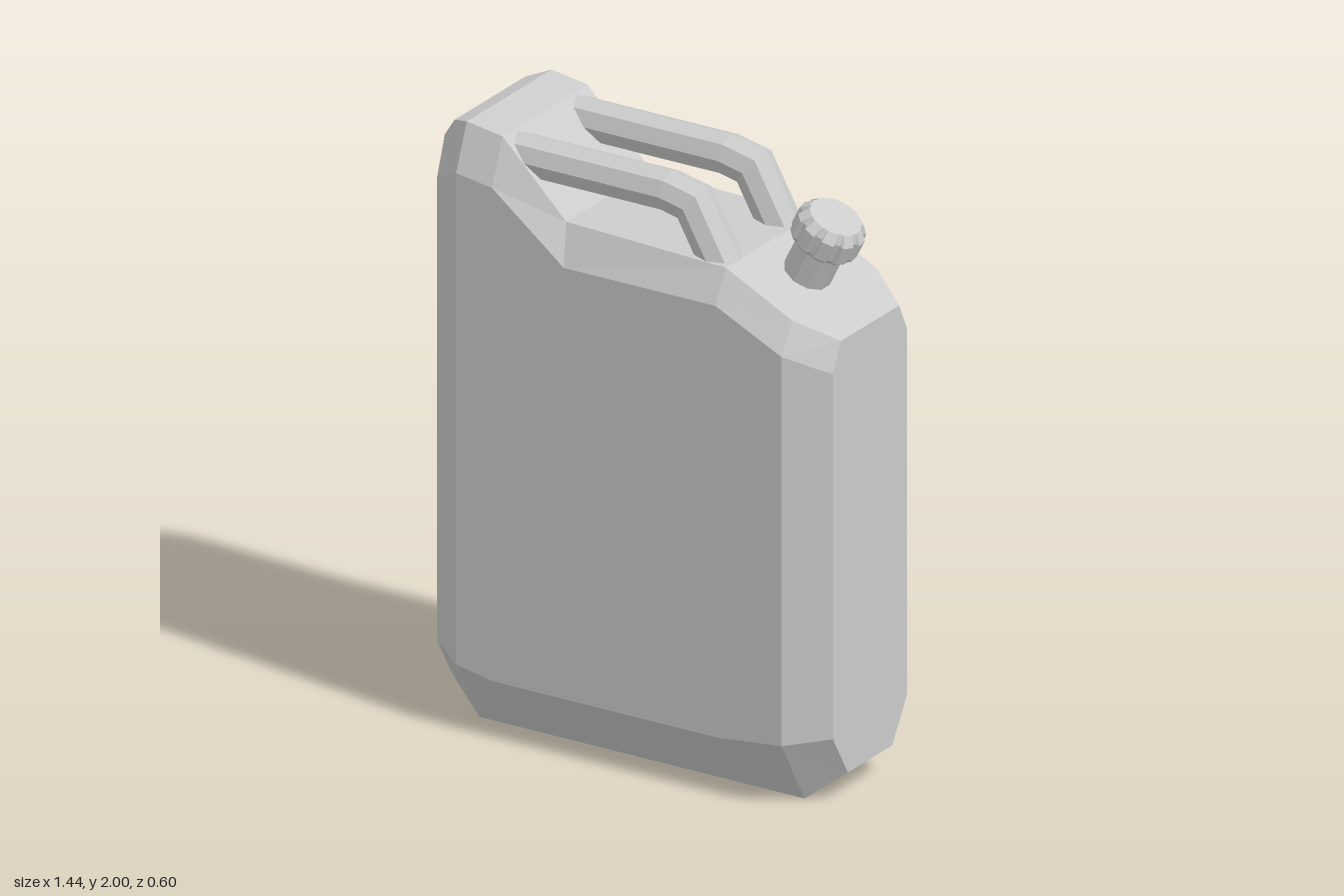
import * as THREE from 'three';

const material = new THREE.MeshStandardMaterial({ color: 0xcccccc, flatShading: true });
const V = (x, y, z) => new THREE.Vector3(x, y, z);

// Skin a list of equal-sized rings; project (optional) maps a ring to 2D, counter-clockwise, to close both ends
function loft(name, rings, project) {
  const pos = [];
  const tri = (a, b, c) => {
    const area = b.clone().sub(a).cross(c.clone().sub(a)).length();
    if (area > 1e-7) for (const p of [a, b, c]) pos.push(p.x, p.y, p.z);
  };
  for (let r = 0; r < rings.length - 1; r++) {
    const a = rings[r], b = rings[r + 1];
    for (let i = 0; i < a.length; i++) {
      const j = (i + 1) % a.length;
      tri(a[i], a[j], b[j]);
      tri(a[i], b[j], b[i]);
    }
  }
  if (project) {
    const close = (ring, up) => {
      const flat = ring.map(project);
      for (const [a, b, c] of THREE.ShapeUtils.triangulateShape(flat.slice(), [])) {
        const ccw = THREE.ShapeUtils.area([flat[a], flat[b], flat[c]]) > 0;
        if (ccw === up) tri(ring[a], ring[b], ring[c]);
        else tri(ring[a], ring[c], ring[b]);
      }
    };
    close(rings[0], false);
    close(rings[rings.length - 1], true);
  }
  const geo = new THREE.BufferGeometry();
  geo.setAttribute('position', new THREE.Float32BufferAttribute(pos, 3));
  geo.computeVertexNormals();
  const mesh = new THREE.Mesh(geo, material);
  mesh.name = name;
  return mesh;
}

// Can body: each row is a rim point (x, y, half depth) and the broad-face point (x, y) its bevel runs to
const FACE_Z = 0.3;
const outline = [
  [-0.718, 0.10, 0.125, -0.59, 0.22],
  [-0.59, 0, 0.17, -0.59, 0.22],
  [-0.46, 0, 0.17, -0.46, 0.195],
  [0.36, 0, 0.17, 0.36, 0.195],
  [0.59, 0, 0.17, 0.59, 0.22],
  [0.718, 0.10, 0.125, 0.59, 0.22],
  [0.718, 0.24, 0.21, 0.59, 0.22],
  [0.718, 1.45, 0.21, 0.59, 1.51],
  [0.718, 1.545, 0.165, 0.59, 1.51],
  [0.59, 1.61, 0.24, 0.59, 1.51],
  [0.35, 1.73, 0.24, 0.35, 1.625],
  [-0.23, 1.75, 0.24, -0.2, 1.625],
  [-0.46, 1.98, 0.24, -0.46, 1.83],
  [-0.59, 2, 0.24, -0.59, 1.85],
  [-0.66, 1.975, 0.2, -0.59, 1.85],
  [-0.718, 1.90, 0.165, -0.59, 1.85],
  [-0.718, 1.77, 0.21, -0.59, 1.85],
  [-0.718, 0.24, 0.21, -0.59, 0.22],
];

function makeBody() {
  const face = s => outline.map(p => V(p[3], p[4], s * FACE_Z));
  const rim = s => outline.map(p => V(p[0], p[1], s * p[2]));
  return loft('body', [face(-1), rim(-1), rim(1), face(1)], p => new THREE.Vector2(p.x, p.y));
}

// Eight-sided bar swept along a mitred path
function makeHandle(name, z) {
  const path = [[-0.5, 1.905], [0.1, 1.905], [0.19, 1.885], [0.315, 1.66]].map(p => new THREE.Vector2(...p));
  const radius = 0.068, sides = 8;
  const normal = i => {
    const d = path[i + 1].clone().sub(path[i]).normalize();
    return new THREE.Vector2(-d.y, d.x);
  };
  const rings = path.map((p, i) => {
    const n0 = normal(Math.max(i - 1, 0)), n1 = normal(Math.min(i, path.length - 2));
    const n = n0.clone().add(n1).normalize();
    n.divideScalar(n.dot(n0));
    return Array.from({ length: sides }, (_, k) => {
      const a = k / sides * Math.PI * 2, u = radius * Math.cos(a);
      return V(p.x + n.x * u, p.y + n.y * u, z + radius * Math.sin(a));
    });
  });
  return loft(name, rings);
}

// Tilted spout: faceted neck and a ribbed screw cap
function makeSpout() {
  const spout = new THREE.Group();
  spout.name = 'spout';
  const neck = new THREE.Mesh(new THREE.CylinderGeometry(0.078, 0.078, 0.22, 10), material);
  neck.name = 'neck';
  neck.position.y = 0.05;

  const ribs = 10;
  const ring = (y, outer, inner) => Array.from({ length: ribs * 4 }, (_, k) => {
    const step = [0, 0.55, 0.65, 0.9][k % 4];
    const a = (Math.floor(k / 4) + step) / ribs * Math.PI * 2;
    const r = k % 4 < 2 ? outer : inner;
    return V(r * Math.cos(a), y, -r * Math.sin(a));
  });
  const cap = loft('cap', [
    ring(0.135, 0.098, 0.092),
    ring(0.15, 0.112, 0.1),
    ring(0.215, 0.112, 0.1),
    ring(0.245, 0.086, 0.084),
  ], p => new THREE.Vector2(p.x, -p.z));

  spout.add(neck, cap);
  spout.position.set(0.485, 1.65, 0);
  spout.rotation.z = -THREE.MathUtils.degToRad(26.5);
  return spout;
}

export function createModel() {
  const model = new THREE.Group();
  model.name = 'jerrycan';
  model.add(
    makeBody(),
    makeHandle('frontHandle', 0.168),
    makeHandle('backHandle', -0.168),
    makeSpout(),
  );
  return model;
}
